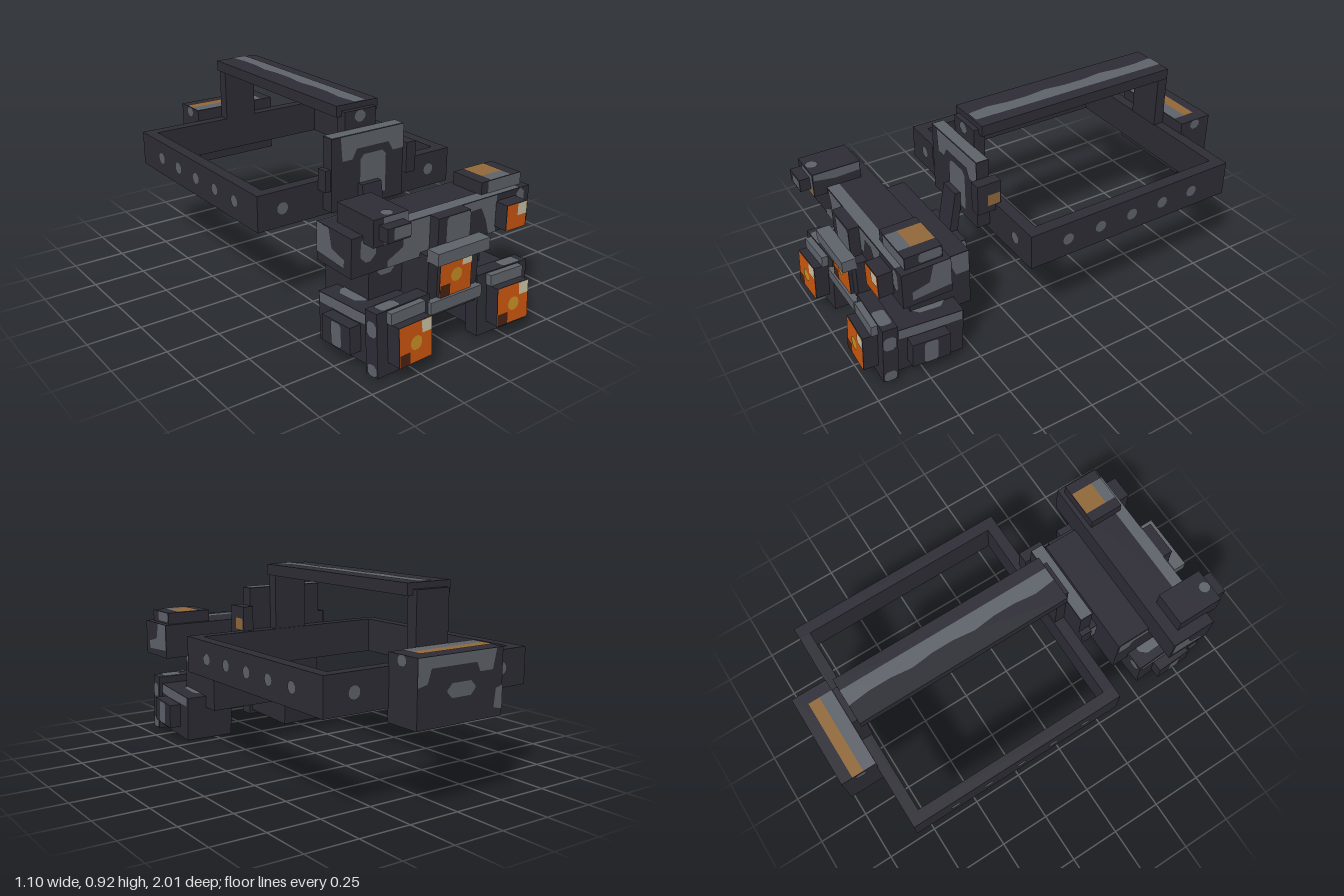
import * as THREE from 'three';

const mat = (name, color) => Object.assign(new THREE.MeshStandardMaterial({ color }), { name });
const dark = mat('charcoal', 0x2e2d36);
const gray = mat('camo gray', 0x5f646b);
const brown = mat('strap brown', 0x92693a);
const orange = mat('lens orange', 0xcc570f);
const amber = mat('lens amber', 0xc99024);
const cream = mat('lens glint', 0xcbc2a4);
const umber = mat('lens shade', 0x4a2212);

// Box given by its limits
function box(parent, name, m, x0, x1, y0, y1, z0, z1) {
  const mesh = new THREE.Mesh(new THREE.BoxGeometry(x1 - x0, y1 - y0, z1 - z0), m);
  mesh.position.set((x0 + x1) / 2, (y0 + y1) / 2, (z0 + z1) / 2);
  mesh.name = name;
  parent.add(mesh);
  return mesh;
}

// Flat painted face; points are (x,y) front/back, (z,y) right/left, (x,z) top/bottom
const MAP = {
  front: [(u, v, d) => [u, v, d], false], back: [(u, v, d) => [u, v, d], true],
  right: [(u, v, d) => [d, v, u], true], left: [(u, v, d) => [d, v, u], false],
  top: [(u, v, d) => [u, d, v], true], bottom: [(u, v, d) => [u, d, v], false],
};
const SIGN = { front: 1, right: 1, top: 1, back: -1, left: -1, bottom: -1 };
function patch(parent, name, m, face, d, pts, lift = 0.003) {
  const [map, flip] = MAP[face];
  const geo = new THREE.ShapeGeometry(new THREE.Shape(pts.map(p => new THREE.Vector2(p[0], p[1]))));
  const pos = geo.attributes.position;
  for (let i = 0; i < pos.count; i++) pos.setXYZ(i, ...map(pos.getX(i), pos.getY(i), d + SIGN[face] * lift));
  if (flip) geo.index.array.reverse();
  geo.computeVertexNormals();
  const mesh = new THREE.Mesh(geo, m);
  mesh.name = name;
  parent.add(mesh);
}
// Rectangle with cut corners
const rect = (a, b, c, d, r = 0) => r
  ? [[a + r, c], [b - r, c], [b, c + r], [b, d - r], [b - r, d], [a + r, d], [a, d - r], [a, c + r]]
  : [[a, c], [b, c], [b, d], [a, d]];
const disc = (u, v, r) => Array.from({ length: 14 }, (_, i) =>
  [u + r * Math.cos(i * Math.PI / 7), v + r * Math.sin(i * Math.PI / 7)]);

// Square glowing lens face with glint, shade and amber centre
function lens(parent, x0, x1, y0, y1, z, full) {
  const t = 0.055;
  patch(parent, 'lensFace', orange, 'front', z, rect(x0, x1, y0, y1));
  patch(parent, 'lensGlint', cream, 'front', z, rect(x1 - t, x1, y1 - t, y1), 0.005);
  if (!full) return;
  patch(parent, 'lensShade', umber, 'front', z, rect(x0, x0 + t, y0, y0 + t), 0.005);
  patch(parent, 'lensCore', amber, 'front', z, disc((x0 + x1) / 2, (y0 + y1) / 2, 0.031), 0.006);
}

function headFrame() {
  const g = new THREE.Group();
  g.name = 'headFrame';
  for (const s of [-1, 1]) {
    box(g, 'sideBand', dark, Math.min(s * 0.49, s * 0.547), Math.max(s * 0.49, s * 0.547), 0.43, 0.6, -0.83, 0.265);
    for (let i = 0; i < 5; i++)
      patch(g, 'rivet', gray, s > 0 ? 'right' : 'left', s * 0.547, disc(0.075 - i * 0.174, 0.517, 0.028));
    patch(g, 'rivet', gray, 'front', 0.265, disc(s * 0.42, 0.517, 0.028));
    patch(g, 'rivet', gray, 'back', -0.83, disc(s * 0.4, 0.517, 0.028));
  }
  box(g, 'frontBand', dark, -0.49, 0.49, 0.43, 0.6, 0.21, 0.265);
  box(g, 'backBand', dark, -0.49, 0.49, 0.43, 0.6, -0.83, -0.775);
  box(g, 'frontPost', dark, -0.087, 0.087, 0.6, 0.89, 0.215, 0.27);
  box(g, 'backPost', dark, -0.087, 0.087, 0.6, 0.89, -0.825, -0.77);
  box(g, 'topStrap', dark, -0.115, 0.115, 0.865, 0.917, -0.8, 0.245);
  // wavy stripe along the strap
  const edge = [];
  for (let i = 0; i <= 10; i++) edge.push([-0.012 + (i % 3 === 1 ? -0.012 : 0), 0.24 - i * 0.104]);
  patch(g, 'strapStripe', gray, 'top', 0.917, [[0.055, -0.8], [0.055, 0.24], ...edge]);
  patch(g, 'postPatch', gray, 'front', 0.27, rect(-0.035, 0.025, 0.835, 0.888, 0.018));
  // rear battery box
  box(g, 'batteryBox', dark, -0.228, 0.228, 0.37, 0.657, -1, -0.825);
  patch(g, 'batteryTopGray', gray, 'top', 0.657, rect(-0.228, 0.17, -0.89, -0.828));
  patch(g, 'batteryTopBrown', brown, 'top', 0.657, rect(-0.228, 0.17, -0.945, -0.89));
  patch(g, 'batterySlot', gray, 'back', -1, rect(-0.075, 0.075, 0.48, 0.54, 0.025));
  patch(g, 'batteryPatch', gray, 'back', -1, [[0.228, 0.657], [0.228, 0.54], [0.18, 0.55], [0.16, 0.61], [-0.08, 0.61], [-0.1, 0.57], [-0.17, 0.57], [-0.19, 0.657]]);
  patch(g, 'batteryPatch', gray, 'back', -1, [[-0.228, 0.4], [-0.228, 0.5], [-0.19, 0.49], [-0.18, 0.41]]);
  for (const [f, s] of [['right', 1], ['left', -1]])
    patch(g, 'batterySidePatch', gray, f, s * 0.228, rect(-0.935, -0.88, 0.61, 0.657, 0.015));
  return g;
}

function mount() {
  const g = new THREE.Group();
  g.name = 'mount';
  box(g, 'mountPlate', dark, -0.203, 0.203, 0.46, 0.803, 0.265, 0.328);
  box(g, 'mountKnob', dark, 0.203, 0.257, 0.57, 0.717, 0.237, 0.355);
  patch(g, 'knobCap', brown, 'right', 0.257, rect(0.245, 0.305, 0.605, 0.66));
  box(g, 'mountStud', dark, -0.23, -0.203, 0.56, 0.66, 0.265, 0.32);
  patch(g, 'platePatch', gray, 'front', 0.328, [[-0.155, 0.803], [-0.145, 0.69], [-0.09, 0.69], [-0.065, 0.735], [0.115, 0.735], [0.14, 0.69], [0.203, 0.69], [0.203, 0.803]]);
  patch(g, 'plateDome', gray, 'front', 0.328, [[-0.045, 0.5], [0.1, 0.5], [0.1, 0.68], [0.08, 0.702], [-0.025, 0.702], [-0.045, 0.68]]);
  patch(g, 'plateTop', gray, 'top', 0.803, rect(-0.2, 0.2, 0.268, 0.325));
  // sloping arm
  const side = new THREE.Shape([[-0.32, 0.57], [-0.358, 0.57], [-0.415, 0.255], [-0.37, 0.255]].map(p => new THREE.Vector2(...p)));
  const geo = new THREE.ExtrudeGeometry(side, { depth: 0.11, bevelEnabled: false });
  const arm = new THREE.Mesh(geo.rotateY(Math.PI / 2).translate(-0.055, 0, 0), dark);
  arm.name = 'mountArm';
  g.add(arm);
  // fork gripping the arm
  for (const s of [-1, 1]) {
    box(g, 'armFork', dark, s * 0.1 - 0.043, s * 0.1 + 0.043, 0.255, 0.37, 0.358, 0.45);
    patch(g, 'forkPatch', gray, s > 0 ? 'right' : 'left', s * 0.143, rect(0.36, 0.445, 0.257, 0.368, 0.01));
  }
  patch(g, 'forkBack', gray, 'back', 0.358, rect(0.06, 0.14, 0.26, 0.365));
  return g;
}

function housing() {
  const g = new THREE.Group();
  g.name = 'housing';
  box(g, 'body', dark, -0.317, 0.317, 0.17, 0.457, 0.44, 0.74);
  box(g, 'brow', dark, -0.488, 0.488, 0.43, 0.6, 0.617, 0.843);
  for (const [f, s] of [['right', 1], ['left', -1]]) {
    patch(g, 'bodySidePatch', gray, f, s * 0.317, [[0.445, 0.455], [0.73, 0.455], [0.73, 0.39], [0.69, 0.36], [0.66, 0.4], [0.53, 0.4], [0.51, 0.35], [0.445, 0.35]]);
    patch(g, 'browSidePatch', gray, f, s * 0.488, [[0.62, 0.47], [0.62, 0.6], [0.7, 0.6], [0.72, 0.52], [0.8, 0.5], [0.8, 0.46]]);
    patch(g, 'bodyFrontPatch', gray, 'front', 0.74, rect(s * 0.23 - 0.045, s * 0.23 + 0.045, 0.34, 0.43, 0.02));
  }
  patch(g, 'browTop', gray, 'top', 0.6, rect(-0.26, 0.43, 0.785, 0.843));
  patch(g, 'browFrontPatch', gray, 'front', 0.843, [[-0.25, 0.6], [-0.09, 0.6], [-0.09, 0.43], [-0.31, 0.43], [-0.31, 0.46], [-0.23, 0.5], [-0.23, 0.53]]);
  patch(g, 'browFrontPatch', gray, 'front', 0.843, rect(-0.445, -0.37, 0.485, 0.6, 0.025));
  patch(g, 'browFrontPatch', gray, 'front', 0.843, [[0.09, 0.6], [0.29, 0.6], [0.29, 0.43], [0.25, 0.43], [0.23, 0.5], [0.2, 0.56], [0.14, 0.56], [0.12, 0.48], [0.09, 0.48]]);
  patch(g, 'browFrontPatch', gray, 'front', 0.843, rect(0.41, 0.455, 0.49, 0.6, 0.02));
  // small illuminator lens
  box(g, 'illuminator', dark, 0.287, 0.403, 0.455, 0.57, 0.843, 0.91);
  lens(g, 0.287, 0.403, 0.455, 0.57, 0.91, false);
  // nose bridge and centre lens
  box(g, 'noseBridge', dark, -0.088, 0.088, 0.43, 0.6, 0.843, 0.895);
  patch(g, 'nosePatch', gray, 'front', 0.895, rect(-0.045, 0.087, 0.48, 0.598, 0.012));
  box(g, 'centreHousing', dark, -0.14, 0.14, 0.17, 0.45, 0.74, 0.9);
  box(g, 'centreHood', gray, -0.143, 0.143, 0.43, 0.485, 0.895, 0.96);
  box(g, 'centreSill', gray, -0.143, 0.143, 0.2, 0.255, 0.895, 0.93);
  box(g, 'centreLensTube', dark, -0.087, 0.087, 0.255, 0.43, 0.895, 0.915);
  lens(g, -0.087, 0.087, 0.255, 0.43, 0.915, true);
  // top-mounted boxes
  box(g, 'camera', dark, -0.432, -0.262, 0.57, 0.686, 0.675, 0.905);
  box(g, 'cameraLens', dark, -0.405, -0.29, 0.6, 0.66, 0.905, 0.957);
  patch(g, 'cameraPatch', gray, 'front', 0.905, rect(-0.385, -0.262, 0.6, 0.686));
  patch(g, 'cameraStripe', brown, 'front', 0.905, rect(-0.38, -0.262, 0.572, 0.6));
  patch(g, 'cameraLensPatch', gray, 'front', 0.957, rect(-0.375, -0.292, 0.61, 0.658));
  patch(g, 'cameraTopPatch', gray, 'top', 0.686, rect(-0.37, -0.32, 0.85, 0.9, 0.015));
  patch(g, 'cameraSide', gray, 'right', -0.262, [[0.68, 0.645], [0.68, 0.684], [0.9, 0.684], [0.9, 0.655], [0.8, 0.64]]);
  box(g, 'switchBox', dark, 0.228, 0.46, 0.6, 0.657, 0.64, 0.812);
  patch(g, 'switchFront', gray, 'front', 0.812, rect(0.265, 0.46, 0.602, 0.657));
  patch(g, 'switchTopBrown', brown, 'top', 0.657, rect(0.28, 0.405, 0.643, 0.755));
  patch(g, 'switchTopGray', gray, 'top', 0.657, rect(0.28, 0.405, 0.755, 0.812));
  patch(g, 'switchSide', gray, 'right', 0.46, rect(0.645, 0.75, 0.61, 0.655, 0.01));
  return g;
}

// Side tube, built around its own centre and then tilted; s is the side
function tube(s) {
  const g = new THREE.Group();
  g.name = s > 0 ? 'leftTube' : 'rightTube';
  const out = s > 0 ? 'right' : 'left';
  box(g, 'barrel', dark, -0.125, 0.125, -0.118, 0.105, -0.33, 0.02);
  box(g, 'frontRim', dark, -0.142, 0.142, -0.142, 0.142, -0.01, 0.06);
  box(g, 'lensTube', dark, -0.087, 0.087, -0.087, 0.087, 0.06, 0.128);
  lens(g, -0.087, 0.087, -0.087, 0.087, 0.128, true);
  box(g, 'lensHood', gray, -0.092, 0.092, 0.088, 0.138, 0.05, 0.09);
  box(g, 'sideKnob', dark, s > 0 ? 0.12 : -0.182, s > 0 ? 0.182 : -0.12, -0.07, 0.05, -0.24, -0.06);
  patch(g, 'knobPatch', gray, out, s * 0.182, rect(-0.18, -0.115, -0.065, 0.045, 0.01));
  patch(g, 'barrelPatch', gray, out, s * 0.125, [[-0.32, 0.104], [-0.02, 0.104], [-0.02, 0.06], [-0.1, 0.055], [-0.32, 0.06]]);
  patch(g, 'barrelTopPatch', gray, 'top', 0.105, rect(-0.08, 0.06, -0.28, -0.12, 0.03));
  patch(g, 'rimPatch', gray, out, s * 0.142, rect(0, 0.058, 0.03, 0.1, 0.015));
  patch(g, 'rimPatch', gray, out, s * 0.142, rect(0, 0.055, -0.142, -0.09, 0.012));
  patch(g, 'rimTopPatch', gray, 'top', 0.142, rect(s * 0.06 - 0.05, s * 0.06 + 0.05, 0, 0.058, 0.01));
  patch(g, 'barrelBackPatch', gray, 'back', -0.33, rect(-0.11, -0.05, 0.03, 0.1, 0.02));
  g.position.set(s * 0.28, 0.144, 0.862);
  g.rotation.set(-0.06, -s * 0.04, 0);
  return g;
}

export function createModel() {
  const model = new THREE.Group();
  model.name = 'nightVisionHeadset';
  model.add(headFrame(), mount(), housing(), tube(1), tube(-1));
  return model;
}
